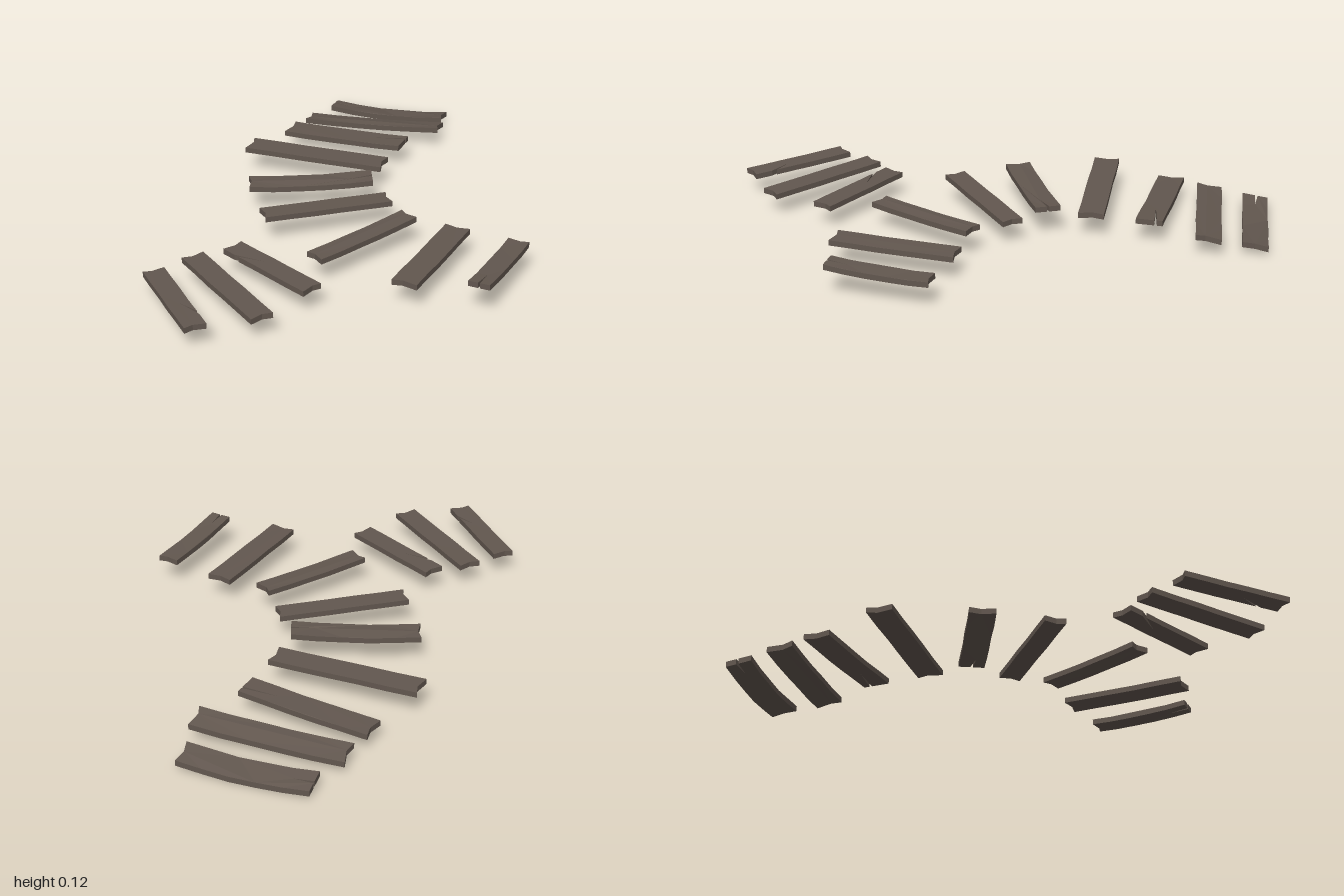
import * as THREE from 'three';

const THICK = 0.02;
const wood = new THREE.MeshStandardMaterial({ color: 0x62574f, flatShading: true, roughness: 1 });

// Each plank: start [x, z], end [x, z], heights of underside [start, middle, end],
// width, sideways tilt, optional crack { edge, open, tip: [u, v] }
const planks = [
  { a: [-0.495, -0.915], b: [-0.04, -0.952], y: [0.022, 0.008, 0.025], w: 0.093, tilt: -0.015, crack: { edge: 'start', open: 0.05, tip: [0.15, 0] } },
  { a: [-0.535, -0.74], b: [0, -0.79], y: [0.034, 0.038, 0.055], w: 0.092, tilt: -0.015 },
  { a: [-0.555, -0.593], b: [-0.077, -0.57], y: [0.047, 0.055, 0.07], w: 0.097, tilt: 0, crack: { edge: 'end', open: 0.24, tip: [0.73, 0.02] } },
  { a: [-0.615, -0.337], b: [-0.077, -0.36], y: [0.078, 0.076, 0.075], w: 0.093, tilt: 0 },
  { a: [-0.478, -0.016], b: [-0.069, -0.206], y: [0.085, 0.08, 0.093], w: 0.093, tilt: 0 },
  { a: [-0.333, 0.196], b: [0.037, -0.098], y: [0.085, 0.08, 0.075], w: 0.078, tilt: 0 },
  { a: [0.156, 0.021], b: [-0.048, 0.415], y: [0.086, 0.078, 0.078], w: 0.076, tilt: 0 },
  { a: [0.342, 0.035], b: [0.302, 0.487], y: [0.075, 0.076, 0.08], w: 0.093, tilt: 0 },
  { a: [0.574, 0.07], b: [0.546, 0.438], y: [0.082, 0.084, 0.1], w: 0.077, tilt: 0, crack: { edge: 'end', open: 0, tip: [0.8, 0] } },
  { a: [-0.344, 0.434], b: [0.024, 0.61], y: [0.073, 0.072, 0.071], w: 0.08, tilt: 0, crack: { edge: 'lower', open: 0.17, tip: [0.41, 0.04] } },
  { a: [-0.445, 0.54], b: [-0.06, 0.833], y: [0.07, 0.068, 0.067], w: 0.082, tilt: 0 },
  { a: [-0.525, 0.677], b: [-0.236, 0.963], y: [0.068, 0.066, 0.066], w: 0.076, tilt: 0, crack: { edge: 'upper', open: 0.81, tip: [0.62, 0.07] } },
];
planks[4].crack = { edge: 'end', open: 0, tip: [0.82, -0.1] };

// Long edge with slight waviness, split by a crack if there is one
function longEdge(v, seed, crack) {
  let pts = [0, 0.2, 0.4, 0.6, 0.8, 1].map((u, i) =>
    [u, v * (1 + (u > 0 && u < 1 ? 0.025 * Math.sin(seed * 3.7 + i * 2.3) : 0))]);
  if (crack) {
    pts = pts.filter(([u]) => Math.abs(u - crack.open) > 0.05);
    const at = pts.findIndex(([u]) => u > crack.open);
    pts.splice(at, 0, [crack.open - 0.025, v], crack.tip, [crack.open + 0.025, v]);
  }
  return pts;
}

// Broken end: a shallow notch, or a crack running into the plank
function endEdge(u, seed, crack) {
  if (crack) return [[u, crack.open - 0.05], crack.tip, [u, crack.open + 0.05]];
  const inset = 0.022;
  return [[u + (u ? -inset : inset), 0.12 * Math.sin(seed * 5.1 + u)]];
}

function makePlank({ a, b, y, w, tilt, crack }, seed) {
  const at = (edge) => (crack && crack.edge === edge ? crack : null);
  const dx = b[0] - a[0], dz = b[1] - a[1], len = Math.hypot(dx, dz);
  const outline = [
    ...longEdge(-0.5, seed, at('lower')),
    ...endEdge(1, seed, at('end')),
    ...longEdge(0.5, seed + 1, at('upper')).reverse(),
    ...endEdge(0, seed, at('start')).reverse(),
  ];
  const shape = new THREE.Shape(outline.map(([u, v]) => new THREE.Vector2(u * len, v * w)));
  const geo = new THREE.ExtrudeGeometry(shape, { depth: THICK, bevelEnabled: false });

  // Lay the board down between its two ends, with warp and tilt
  const pos = geo.attributes.position;
  for (let i = 0; i < pos.count; i++) {
    const u = pos.getX(i) / len, v = pos.getY(i) / w;
    const warp = y[0] * (1 - u) * (1 - 2 * u) + y[1] * 4 * u * (1 - u) + y[2] * u * (2 * u - 1);
    pos.setXYZ(i,
      a[0] + dx * u + (dz / len) * v * w,
      warp + tilt * v + pos.getZ(i),
      a[1] + dz * u - (dx / len) * v * w);
  }
  geo.computeVertexNormals();
  return new THREE.Mesh(geo, wood);
}

export function createModel() {
  const path = new THREE.Group();
  path.name = 'plankPath';
  planks.forEach((p, i) => {
    const plank = makePlank(p, i + 1);
    plank.name = `plank${i + 1}`;
    path.add(plank);
  });
  return path;
}
